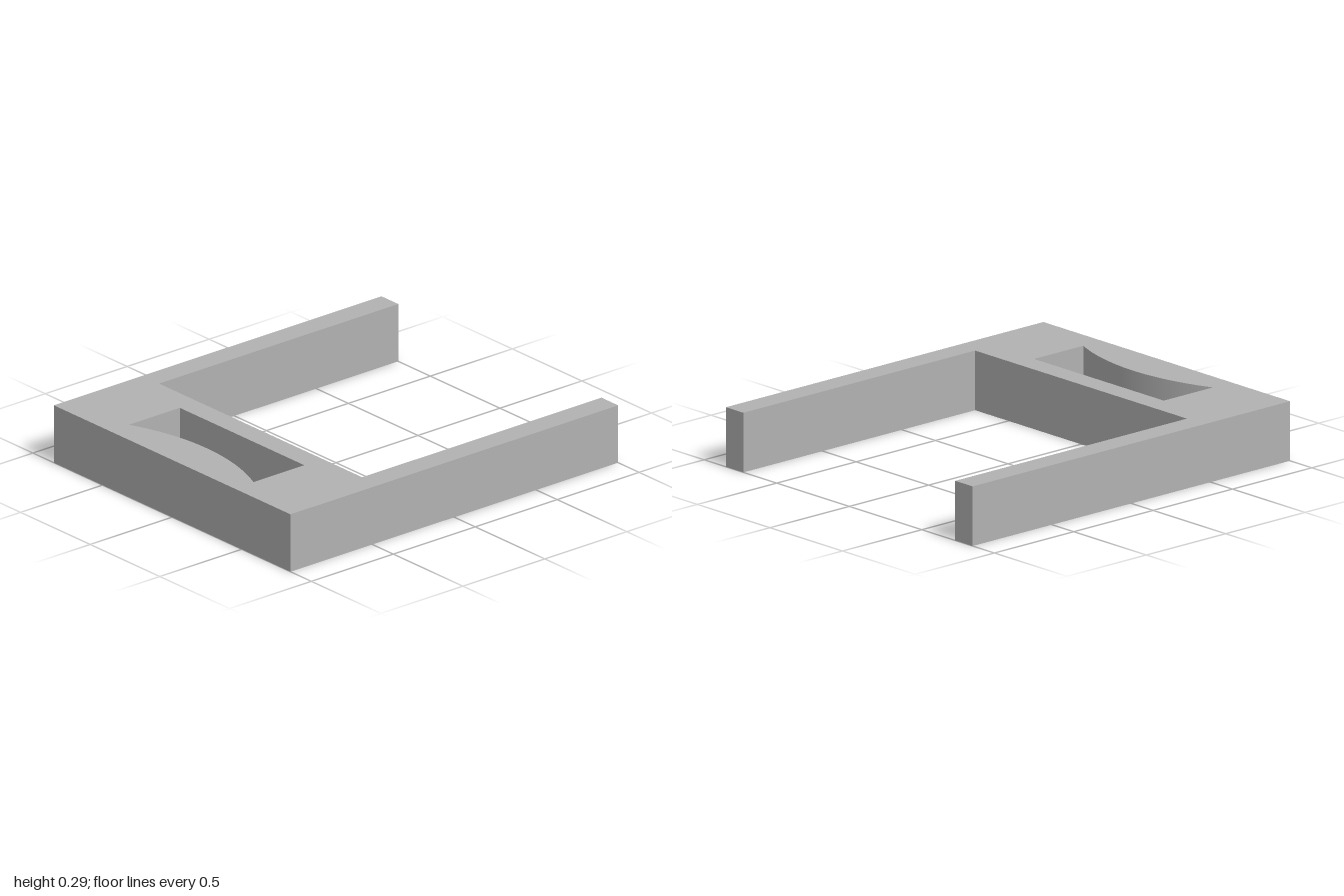
import * as THREE from 'three';
import { toCreasedNormals } from 'three/addons/utils/BufferGeometryUtils.js';

const HEIGHT = 0.29;

// Plan points are [x, z]; the shape's y axis is -z
const planPoints = (pts) => pts.map(([x, z]) => new THREE.Vector2(x, -z));

export function createModel() {
  const group = new THREE.Group();
  group.name = 'bracket';
  const grey = new THREE.MeshStandardMaterial({ color: 0xb2b2b2 });
  grey.name = 'grey';

  // U-shaped outline: thick front bar with two thin arms running back
  const outline = new THREE.Shape(planPoints([
    [-0.85, 1], [0.85, 1], [0.85, -1], [0.73, -1],
    [0.73, 0.46], [-0.73, 0.46], [-0.73, -1], [-0.85, -1],
  ]));

  // Through slot with a straight back edge and a front edge bowed inwards
  const half = 0.447, backZ = 0.573, cornerZ = 0.883, crownZ = 0.788;
  const sagitta = cornerZ - crownZ;
  const radius = (half * half + sagitta * sagitta) / (2 * sagitta);
  const sweep = Math.asin(half / radius);
  const slot = new THREE.Path();
  slot.moveTo(half, -backZ);
  slot.lineTo(-half, -backZ);
  slot.lineTo(-half, -cornerZ);
  slot.absarc(0, -(crownZ + radius), radius, Math.PI / 2 + sweep, Math.PI / 2 - sweep, true);
  slot.closePath();
  outline.holes.push(slot);

  const extruded = new THREE.ExtrudeGeometry(outline, {
    depth: HEIGHT, bevelEnabled: false, curveSegments: 32,
  });
  extruded.rotateX(-Math.PI / 2);
  const frame = new THREE.Mesh(toCreasedNormals(extruded, Math.PI / 6), grey);
  frame.name = 'slottedFrame';
  group.add(frame);
  return group;
}
